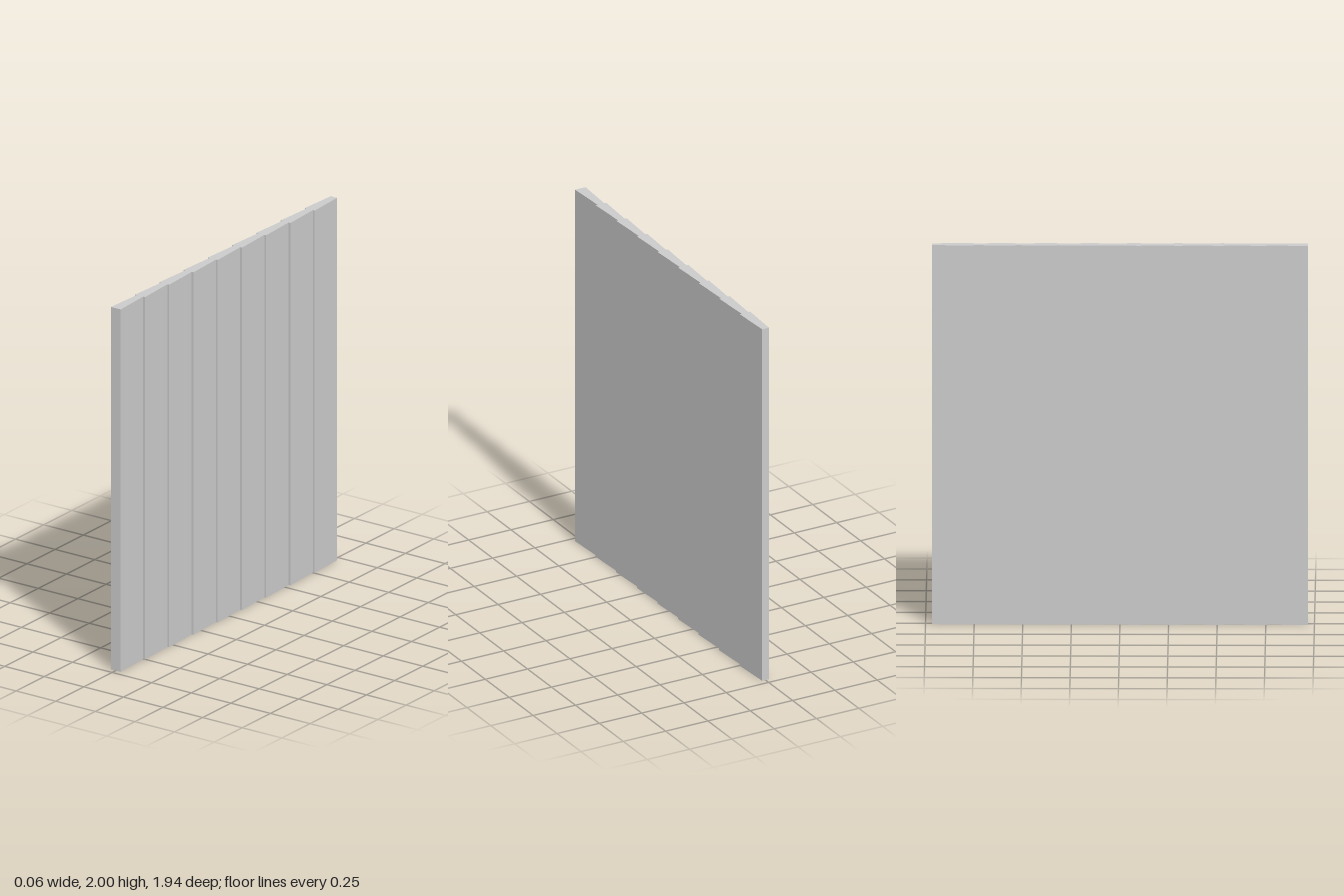
import * as THREE from 'three';

const HEIGHT = 2;
const COUNT = 9;
const PITCH = 0.215;
const THIN = 0.02;   // half thickness at the back edge of a board
const THICK = 0.031; // half thickness at the front edge of a board

export function createModel() {
  const group = new THREE.Group();
  group.name = 'plankWall';
  const material = new THREE.MeshStandardMaterial({ color: 0xcccccc, flatShading: true });

  // Tapered board cross-section, extruded upwards
  const h = PITCH / 2;
  const section = new THREE.Shape([
    new THREE.Vector2(-THICK, -h),
    new THREE.Vector2(THICK, -h),
    new THREE.Vector2(THIN, h),
    new THREE.Vector2(-THIN, h),
  ]);
  const board = new THREE.ExtrudeGeometry(section, { depth: HEIGHT, bevelEnabled: false });
  board.rotateX(-Math.PI / 2);

  // Row of upright boards, thick edges all facing the front
  for (let i = 0; i < COUNT; i++) {
    const plank = new THREE.Mesh(board, material);
    plank.name = `plank${i + 1}`;
    plank.position.z = (i - (COUNT - 1) / 2) * PITCH;
    group.add(plank);
  }
  return group;
}
